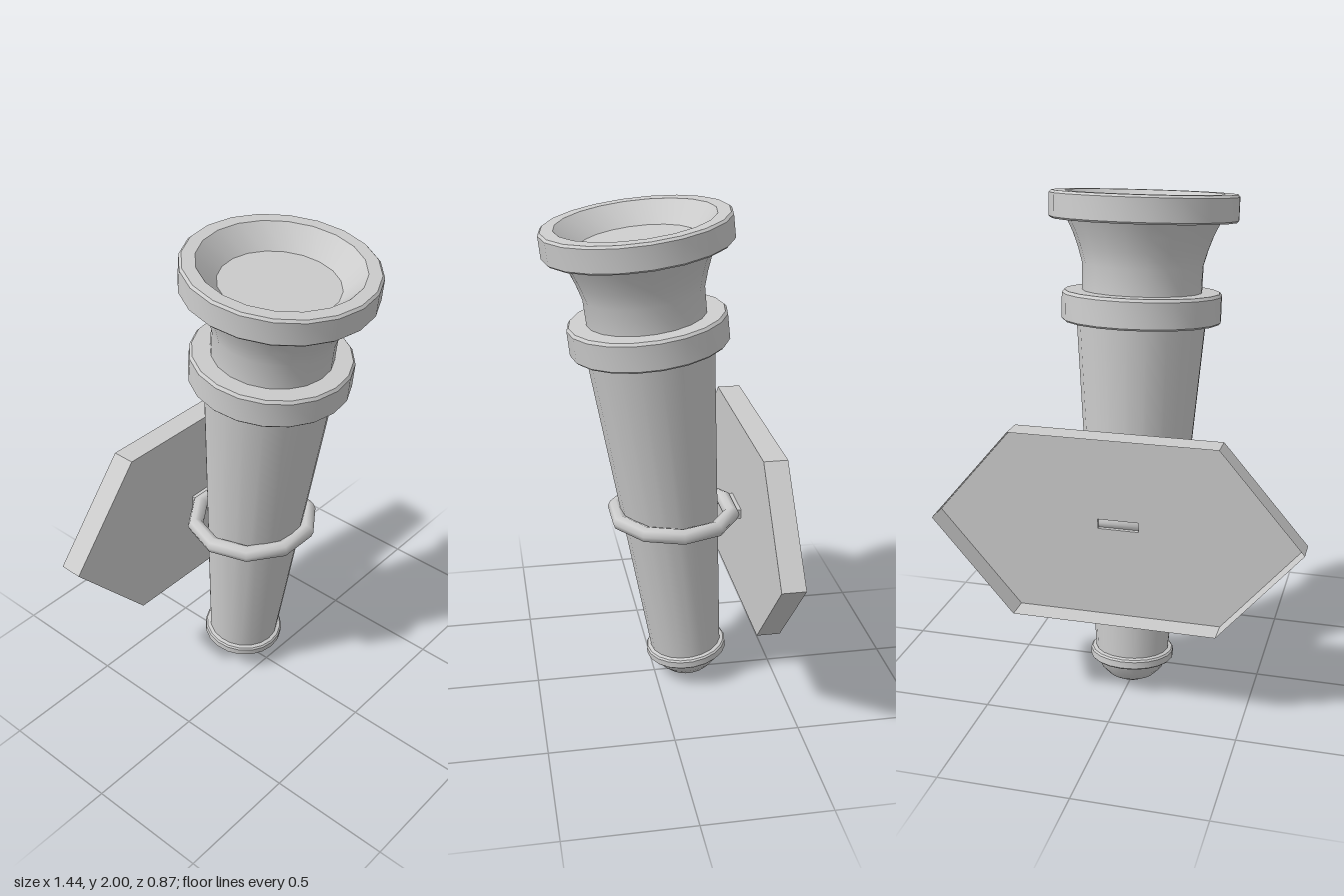
import * as THREE from 'three';
import { toCreasedNormals } from 'three/addons/utils/BufferGeometryUtils.js';

const SIDES = 20;
const grey = new THREE.MeshStandardMaterial({ color: 0xcccccc });
const thin = new THREE.MeshStandardMaterial({ color: 0xcccccc, side: THREE.DoubleSide });

// Turned part from [radius, height] pairs, listed bottom to top on the outside
function turned(name, profile) {
  const points = profile.map(([r, y]) => new THREE.Vector2(r, y));
  const mesh = new THREE.Mesh(toCreasedNormals(new THREE.LatheGeometry(points, SIDES), 0.6), grey);
  mesh.name = name;
  return mesh;
}

// Open band of walls following a closed outline between two depths
function walls(name, outline, z0, z1) {
  const pos = [];
  outline.forEach(([x, y], i) => {
    const [u, v] = outline[(i + 1) % outline.length];
    pos.push(x, y, z0, u, v, z0, u, v, z1, x, y, z0, u, v, z1, x, y, z1);
  });
  const geo = new THREE.BufferGeometry();
  geo.setAttribute('position', new THREE.Float32BufferAttribute(pos, 3));
  geo.computeVertexNormals();
  const mesh = new THREE.Mesh(geo, thin);
  mesh.name = name;
  return mesh;
}

export function createModel() {
  const model = new THREE.Group();
  model.name = 'wallTorch';

  // Torch, leaning forward from its tip
  const torch = new THREE.Group();
  torch.name = 'torch';
  torch.position.set(0, 0.002, -0.15);
  torch.rotation.x = 0.1125;
  torch.add(
    turned('bottomDome', [[0, 0], [0.05, 0.008], [0.093, 0.03], [0.125, 0.062], [0.145, 0.105]]),
    turned('bottomRing', [[0.14, 0.103], [0.162, 0.103], [0.168, 0.109], [0.168, 0.135], [0.162, 0.142], [0.145, 0.146]]),
    turned('handle', [[0.147, 0.14], [0.251, 1.49]]),
    turned('collar', [[0.24, 1.483], [0.302, 1.483], [0.309, 1.49], [0.309, 1.588], [0.3, 1.599], [0.225, 1.599]]),
    turned('neck', [[0.231, 1.595], [0.233, 1.7], [0.25, 1.76], [0.27, 1.815], [0.298, 1.872]]),
    // Rim with the shallow bowl inside it
    turned('rim', [[0.285, 1.868], [0.356, 1.868], [0.363, 1.875], [0.363, 1.962], [0.354, 1.971],
      [0.305, 1.971], [0.225, 1.89], [0, 1.89]]),
  );
  model.add(torch);

  // Level holding ring, ten-sided with a flat at the back
  const ringGeo = new THREE.TorusGeometry(0.238, 0.032, 8, 10);
  ringGeo.rotateX(Math.PI / 2);
  const ring = new THREE.Mesh(ringGeo, grey);
  ring.name = 'holdingRing';
  ring.position.set(0, 0.763, -0.077);
  model.add(ring);

  // Six-sided wall plate, open at the back, with a slot for the stub
  const plateOutline = [[0.72, 0.76], [0.4, 1.135], [-0.4, 1.135], [-0.72, 0.76], [-0.4, 0.387], [0.4, 0.387]];
  const slot = [[0.08, 0.782], [-0.08, 0.782], [-0.08, 0.744], [0.08, 0.744]];
  const vectors = (list) => list.map(([x, y]) => new THREE.Vector2(x, y));
  const shape = new THREE.Shape(vectors(plateOutline));
  shape.holes.push(new THREE.Path(vectors(slot)));
  const face = new THREE.Mesh(new THREE.ShapeGeometry(shape), thin);
  face.name = 'plateFace';
  face.position.z = -0.342;

  const plate = new THREE.Group();
  plate.name = 'wallPlate';
  plate.add(face, walls('plateRim', plateOutline, -0.435, -0.342));
  model.add(plate);

  // Hollow stub joining the plate to the ring
  model.add(walls('ringStub', slot, -0.342, -0.315));
  return model;
}
